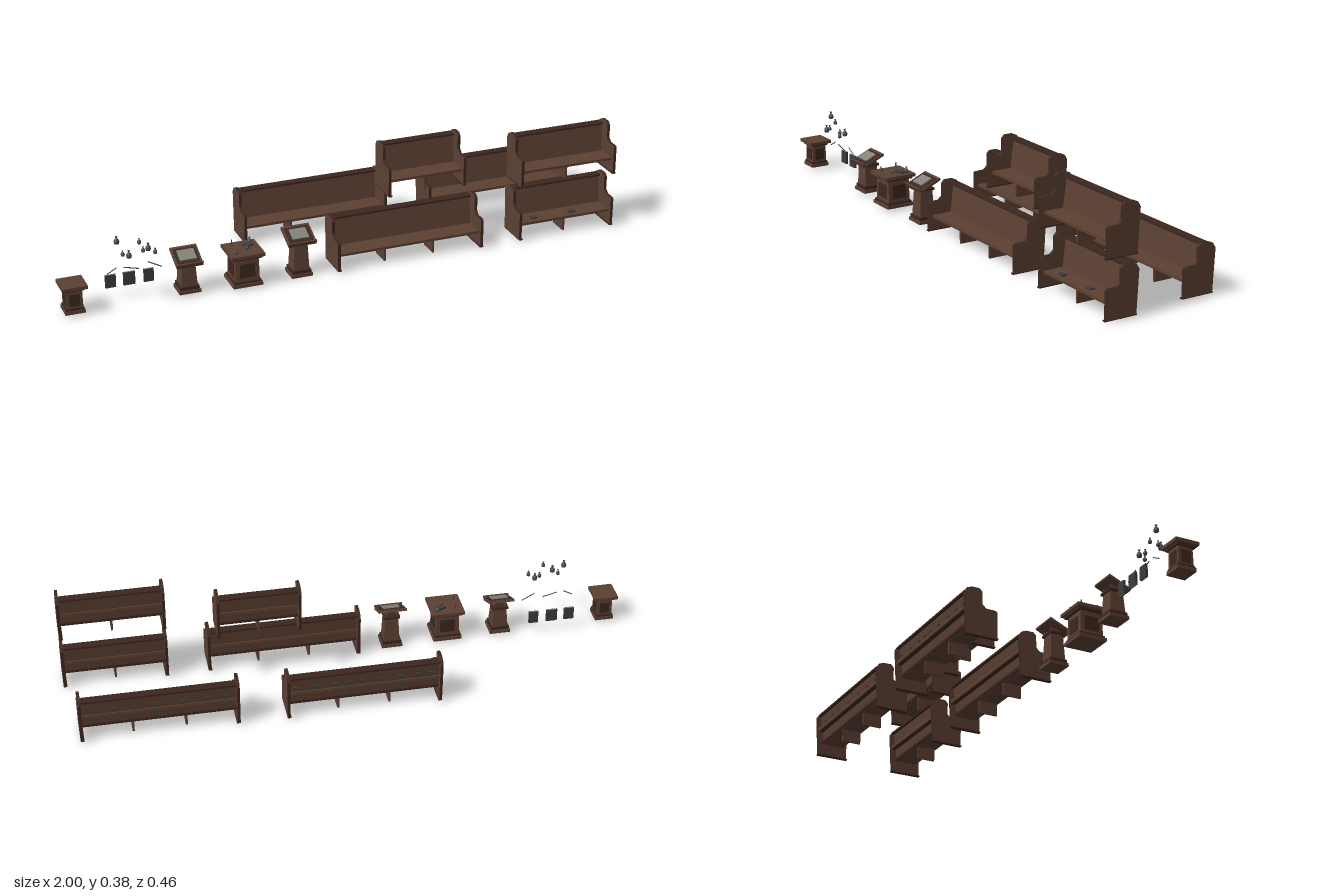
import * as THREE from 'three';

const mat = (name, color, side = THREE.FrontSide) => {
  const m = new THREE.MeshStandardMaterial({ color, side });
  m.name = name;
  return m;
};

export function createModel() {
  const wood = mat('brown wood', 0x5c4033);
  const trim = mat('dark wood trim', 0x3c271f);
  const slate = mat('dark slate', 0x3a3d40);
  const metal = mat('grey metal', 0x4b4d4f, THREE.DoubleSide);
  const page = mat('page grey', 0x83837b);

  const root = new THREE.Group();
  root.name = 'chapelFurniture';

  const add = (parent, name, geo, material, x = 0, y = 0, z = 0) => {
    const m = new THREE.Mesh(geo, material);
    m.name = name;
    m.position.set(x, y, z);
    parent.add(m);
    return m;
  };
  const box = (parent, name, material, w, h, d, x, y, z) =>
    add(parent, name, new THREE.BoxGeometry(w, h, d), material, x, y, z);
  const group = (name, x, y, z) => {
    const g = new THREE.Group();
    g.name = name;
    g.position.set(x, y, z);
    root.add(g);
    return g;
  };

  // Pew end outline, drawn as (z, y)
  const T = 0.01;
  const outline = new THREE.Shape([
    [0.103, 0.01], [0.217, 0.01], [0.217, 0.107], [0.212, 0.111], [0.176, 0.112], [0.162, 0.125],
    [0.162, 0.17], [0.151, 0.181], [0.122, 0.181], [0.105, 0.174], [0.095, 0.157],
  ].map(([z, y]) => new THREE.Vector2(z, y)));
  const endGeo = new THREE.ExtrudeGeometry(outline, { depth: T, bevelEnabled: false });
  endGeo.rotateY(-Math.PI / 2);
  endGeo.translate(T / 2, 0, 0);

  // Pew between x0 and x1, with inner supports and optional books in the rear rack
  const pew = (x0, x1, y, z, supports, books) => {
    const g = group('pew', (x0 + x1) / 2, y, z);
    const w = x1 - x0, inner = w - 2 * T;
    for (const s of [-1, 1]) {
      const x = s * (w / 2 - T / 2);
      add(g, 'pewEnd', endGeo, [wood, trim], x);
      box(g, 'pewFoot', trim, T + 0.003, 0.004, 0.121, x - s * 0.0015, 0.01, 0.1605);
    }
    box(g, 'seat', wood, inner, 0.009, 0.082, 0, 0.059, 0.162);
    const back = box(g, 'backrest', wood, inner, 0.114, 0.008, 0, 0.111, 0.121);
    back.rotation.x = -0.13;
    box(g, 'topRail', trim, inner, 0.007, 0.03, 0, 0.165, 0.115);
    // rear book rack
    box(g, 'rackShelf', trim, inner, 0.004, 0.02, 0, 0.102, 0.112);
    box(g, 'rackLip', wood, inner, 0.012, 0.004, 0, 0.108, 0.102);
    box(g, 'lowerRail', trim, inner, 0.01, 0.006, 0, 0.06, 0.12);
    for (let i = 1; i <= supports; i++)
      box(g, 'support', wood, 0.007, 0.047, 0.07, -w / 2 + (w * i) / (supports + 1), 0.0315, 0.162);
    for (let i = 0; i < books; i++) {
      const x = -inner / 2 + inner * ((i + 0.5) / books) + 0.012 * Math.sin(i * 5);
      box(g, 'hymnBook', slate, 0.018, 0.026, 0.005, x, 0.117, 0.107);
    }
    return g;
  };
  pew(-0.27, 0.267, 0, -0.325, 2, 9);
  pew(0.427, 0.967, 0, -0.319, 2, 7);
  pew(-0.049, 0.492, 0, 0, 2, 0);
  const sidePew = pew(0.631, 0.998, 0, 0, 1, 0);
  pew(0.631, 0.998, 0.198, 0, 1, 0);
  pew(0.176, 0.467, 0.198, -0.099, 1, 0);
  for (const x of [-0.11, 0.04]) box(sidePew, 'seatBook', slate, 0.025, 0.005, 0.018, x, 0.066, 0.175);

  // Square tapered column
  const column = (parent, name, bottom, top, h, y) => {
    const geo = new THREE.CylinderGeometry(top * Math.SQRT1_2, bottom * Math.SQRT1_2, h, 4, 1).toNonIndexed();
    geo.rotateY(Math.PI / 4);
    geo.computeVertexNormals();
    return add(parent, name, geo, wood, 0, y + h / 2, 0);
  };

  // Pedestal: plinth, panelled body, mouldings and square top
  const pedestal = (name, x, z, w, h, top) => {
    const g = group(name, x, 0.01, z);
    box(g, 'plinth', wood, w * 1.2, 0.012, w * 1.2, 0, 0.006, 0);
    box(g, 'baseMoulding', trim, w * 1.1, 0.007, w * 1.1, 0, 0.0155, 0);
    column(g, 'body', w, w * 0.95, h - 0.034, 0.017);
    for (let i = 0; i < 4; i++) {
      const side = new THREE.Group();
      side.name = 'bodyPanel';
      side.rotation.y = (i * Math.PI) / 2;
      g.add(side);
      box(side, 'panel', trim, w * 0.62, h * 0.42, 0.004, 0, h * 0.48, w * 0.49);
    }
    box(g, 'neckMoulding', trim, w * 1.18, 0.008, w * 1.18, 0, h - 0.015, 0);
    box(g, 'top', wood, top, 0.011, top, 0, h - 0.0055, 0);
    return g;
  };
  pedestal('plainPedestal', -0.957, 0.167, 0.056, 0.1, 0.086);
  const altar = pedestal('altarTable', -0.37, 0.168, 0.086, 0.119, 0.118);

  // Small turned vessel
  const vesselGeo = new THREE.LatheGeometry(
    [[0, 0], [0.008, 0], [0.01, 0.008], [0.008, 0.015], [0.003, 0.02], [0.003, 0.024], [0.005, 0.027]]
      .map(([r, y]) => new THREE.Vector2(r, y)), 10);
  const vessel = (parent, x, y, z, s = 1) =>
    add(parent, 'vessel', vesselGeo, metal, x, y, z).scale.setScalar(s);

  // Things on the altar table
  vessel(altar, 0.035, 0.119, -0.035, 0.8);
  vessel(altar, -0.033, 0.119, 0.03, 0.6);
  vessel(altar, 0.012, 0.119, 0.008, 0.6);
  const altarBook = box(altar, 'altarBook', slate, 0.032, 0.006, 0.024, 0.022, 0.122, -0.018);
  altarBook.rotation.y = 0.4;
  add(altar, 'candle', new THREE.CylinderGeometry(0.002, 0.003, 0.025, 8), metal, -0.03, 0.131, -0.03);

  // Lectern with a reading board sloping down to the front
  const lectern = (x, y, z, h, w) => {
    const g = group('lectern', x, y, z);
    box(g, 'plinth', wood, 0.074, 0.012, 0.072, 0, 0.006, 0);
    box(g, 'baseMoulding', trim, 0.066, 0.012, 0.064, 0, 0.018, 0);
    column(g, 'column', 0.056, 0.046, h - 0.065, 0.024);
    box(g, 'neckMoulding', trim, 0.058, 0.008, 0.058, 0, h - 0.043, 0);
    const desk = new THREE.Group();
    desk.name = 'readingDesk';
    desk.position.set(0, h - 0.022, 0);
    desk.rotation.x = 0.42;
    g.add(desk);
    box(desk, 'board', wood, w, 0.009, 0.088, 0, 0, 0);
    box(desk, 'boardFrame', trim, w - 0.014, 0.003, 0.068, 0, 0.0055, 0);
    box(desk, 'bookLedge', wood, w, 0.008, 0.005, 0, 0.008, 0.0415);
    for (const s of [-1, 1]) {
      box(desk, 'openPage', page, 0.029, 0.004, 0.045, s * 0.0148, 0.009, 0);
      box(g, 'bracket', wood, 0.006, 0.02, 0.045, s * 0.02, h - 0.035, 0);
    }
  };
  lectern(-0.565, 0.01, 0.16, 0.143, 0.092);
  lectern(-0.17, 0, 0.162, 0.163, 0.1);

  // Loose props: closed books, thin rods and a cluster of vessels
  const props = group('looseProps', 0, 0, 0);
  [[-0.816, 0.036], [-0.752, 0.04], [-0.685, 0.034]].forEach(([x, w]) => {
    box(props, 'closedBook', slate, w, 0.046, 0.008, x, 0.067, 0.12);
    box(props, 'bookPages', page, w - 0.004, 0.0475, 0.004, x, 0.067, 0.12);
  });
  [[-0.822, 0.038, 0.5], [-0.755, 0.053, -0.25], [-0.675, 0.053, -0.5]].forEach(([x, len, tilt]) => {
    const rod = add(props, 'rod', new THREE.CylinderGeometry(0.0018, 0.0018, len, 6), metal, x, 0.125, 0.165);
    rod.rotation.z = Math.PI / 2 + tilt;
  });
  [[-0.805, 0.228, 0.18], [-0.79, 0.188, 0.195], [-0.735, 0.225, 0.2], [-0.775, 0.188, 0.215],
    [-0.72, 0.188, 0.19], [-0.685, 0.186, 0.21], [-0.7, 0.186, 0.18]]
    .forEach(([x, y, z], i) => vessel(props, x, y, z, i % 3 === 0 ? 0.95 : 0.7));

  return root;
}
